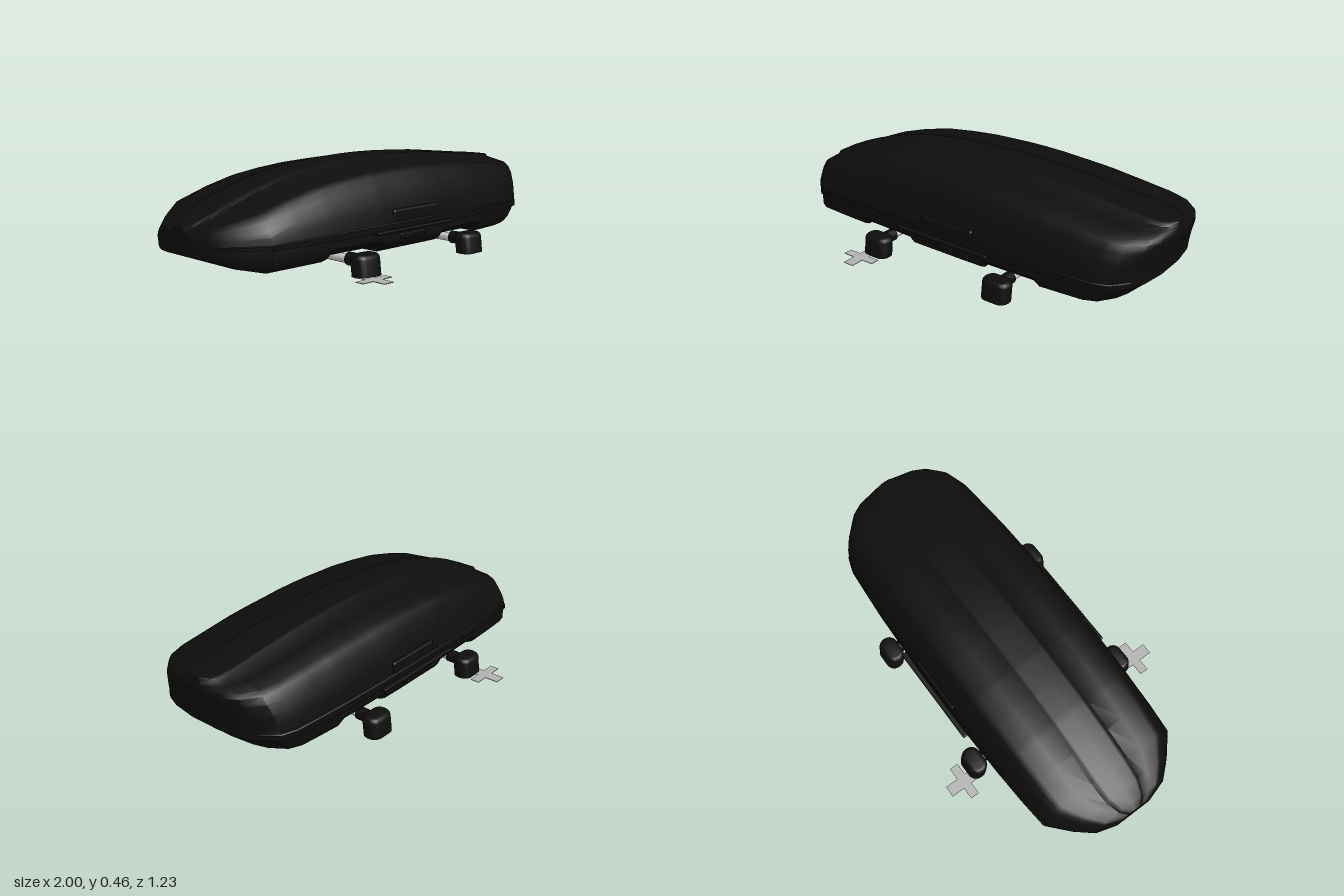
import * as THREE from 'three';
import { toCreasedNormals } from 'three/addons/utils/BufferGeometryUtils.js';
import { RoundedBoxGeometry } from 'three/addons/geometries/RoundedBoxGeometry.js';

const black = new THREE.MeshStandardMaterial({ color: 0x0d0d0d });
black.name = 'black plastic';
const silver = new THREE.MeshStandardMaterial({ color: 0xd0d0d0 });
silver.name = 'bar silver';
const grey = new THREE.MeshStandardMaterial({ color: 0xb2b2b2 });
grey.name = 'plate grey';

const SEAM = 0.165;

// Stations along the box: x, half width, top height, bottom height
const STATIONS = [
  [-1, 0, 0.23, 0.12], [-1, 0.1, 0.23, 0.12], [-0.97, 0.2, 0.253, 0.112], [-0.9, 0.28, 0.285, 0.082],
  [-0.8, 0.37, 0.325, 0.061], [-0.65, 0.383, 0.375, 0.064], [-0.51, 0.39, 0.411, 0.066],
  [-0.48, 0.392, 0.417, 0.09], [-0.34, 0.396, 0.437, 0.09], [-0.2, 0.4, 0.451, 0.09],
  [-0.185, 0.4, 0.452, 0.065], [0, 0.4, 0.46, 0.065], [0.1, 0.4, 0.461, 0.065], [0.21, 0.398, 0.459, 0.065],
  [0.23, 0.397, 0.458, 0.09], [0.36, 0.394, 0.452, 0.09], [0.49, 0.39, 0.444, 0.09],
  [0.52, 0.388, 0.441, 0.065], [0.65, 0.38, 0.428, 0.065], [0.8, 0.37, 0.413, 0.065],
  [0.88, 0.345, 0.405, 0.066], [0.95, 0.27, 0.399, 0.067], [0.98, 0.2, 0.397, 0.068],
  [1, 0.08, 0.395, 0.07], [1, 0, 0.395, 0.07],
];

// Slanted rear end: furthest x at each height
const REAR = [[0.06, 0.81], [0.08, 0.87], [0.13, 0.92], [0.16, 0.955], [0.2, 0.957],
  [0.29, 0.98], [0.34, 1], [0.395, 0.985], [0.47, 0.985]];

function rearX(y) {
  for (let i = 1; i < REAR.length; i++) {
    const [y0, x0] = REAR[i - 1], [y1, x1] = REAR[i];
    if (y <= y1) return x0 + (x1 - x0) * Math.max(0, (y - y0) / (y1 - y0));
  }
  return 0.985;
}

function slant(x, y) {
  const start = 0.55;
  return x <= start ? x : start + (x - start) / (1 - start) * (rearX(y) - start);
}

// Half sections, from the seam to the centre line, as [z, y]
function lidSection(w, top) {
  const crest = Math.min(0.09, w * 0.3), shoulder = top - 0.013;
  const side = [[0.96, -0.03], [1, -0.03], [1, 0.09], [0.985, 0.11], [0.96, 0.32], [0.925, 0.49],
    [0.86, 0.7], [0.8, 0.84], [0.73, 0.91], [0.5, 0.965]];
  return [
    ...side.map(([z, t]) => [z * w, SEAM + (shoulder - SEAM) * t]),
    [crest * 1.15, shoulder], [crest, top - 0.003], [crest * 0.85, top], [0, top],
  ];
}

function tubSection(w, top, bottom) {
  const side = [[0.965, -0.1], [0.97, 0.15], [0.97, 0.6], [0.93, 0.85], [0.86, 1], [0.14, 1]];
  const channel = Math.max(bottom, 0.08);
  return [
    ...side.map(([z, t]) => [z * w, SEAM - (SEAM - bottom) * t]),
    [0.11 * w, channel], [0, channel],
  ];
}

// Skin mirrored sections along the box
function loft(section, sign) {
  const pos = [], index = [];
  let n = 0;
  for (const [x, w, top, bottom] of STATIONS) {
    const half = section(w, top, bottom);
    const ring = [...half, ...half.slice(0, -1).reverse().map(([z, y]) => [-z, y])];
    n = ring.length;
    for (const [z, y] of ring) pos.push(slant(x, y), y, z * sign);
  }
  for (let i = 0; i < STATIONS.length - 1; i++) {
    for (let k = 0; k < n - 1; k++) {
      const a = i * n + k, b = a + n;
      index.push(a, b, b + 1, a, b + 1, a + 1);
    }
  }
  const geo = new THREE.BufferGeometry();
  geo.setAttribute('position', new THREE.Float32BufferAttribute(pos, 3));
  geo.setIndex(index);
  return toCreasedNormals(geo, 0.55);
}

function add(group, name, geo, mat, x = 0, y = 0, z = 0) {
  const mesh = new THREE.Mesh(geo, mat);
  mesh.name = name;
  mesh.position.set(x, y, z);
  group.add(mesh);
  return mesh;
}

// Foot block, rounded in plan and slightly tapered upward
function footGeometry() {
  const s = new THREE.Shape();
  s.moveTo(-0.035, -0.045);
  s.lineTo(0.035, -0.045);
  s.quadraticCurveTo(0.07, -0.035, 0.07, 0);
  s.quadraticCurveTo(0.07, 0.035, 0.035, 0.045);
  s.lineTo(-0.035, 0.045);
  s.quadraticCurveTo(-0.07, 0.035, -0.07, 0);
  s.quadraticCurveTo(-0.07, -0.035, -0.035, -0.045);
  const geo = new THREE.ExtrudeGeometry(s, {
    depth: 0.075, bevelThickness: 0.02, bevelSize: 0.02, bevelOffset: -0.02, bevelSegments: 4, curveSegments: 8,
  });
  geo.rotateX(-Math.PI / 2);
  const p = geo.attributes.position;
  for (let i = 0; i < p.count; i++) {
    // Square off the underside and lean the block inward
    if (p.getY(i) < 0) p.setY(i, 0);
    p.setZ(i, p.getZ(i) - p.getY(i) * 0.12);
  }
  return toCreasedNormals(geo, 0.6);
}

// Flat cross-shaped plate
function crossGeometry() {
  const a = 0.028, b = 0.022, X = 0.088, Z = 0.088;
  const pts = [[a, b], [a, Z], [-a, Z], [-a, b], [-X, b], [-X, -b], [-a, -b], [-a, -Z], [a, -Z], [a, -b], [X, -b], [X, b]];
  const s = new THREE.Shape(pts.map(([x, y]) => new THREE.Vector2(x, y)));
  return new THREE.ExtrudeGeometry(s, { depth: 0.003, bevelEnabled: false }).rotateX(-Math.PI / 2);
}

export function createModel() {
  const model = new THREE.Group();
  model.name = 'roofBox';

  add(model, 'lid', loft(lidSection, 1), black);
  add(model, 'tub', loft(tubSection, -1), black);

  // Crossbars
  for (const x of [-0.35, 0.35]) {
    const bar = add(model, 'crossbar', new THREE.CylinderGeometry(0.02, 0.02, 0.72, 24), silver, x, 0.055, 0);
    bar.rotation.x = Math.PI / 2;
  }

  const foot = footGeometry(), cross = crossGeometry();
  for (const side of [1, -1]) {
    // Feet with arms that clamp the bars
    for (const x of [-0.35, 0.35]) {
      const g = new THREE.Group();
      g.name = 'foot';
      g.position.x = x;
      g.rotation.y = side > 0 ? 0 : Math.PI;
      add(g, 'footBlock', foot, black, 0, 0, 0.445);
      const arm = add(g, 'footArm', new THREE.CylinderGeometry(0.03, 0.03, 0.1, 20), black, 0, 0.058, 0.388);
      arm.rotation.x = Math.PI / 2;
      model.add(g);
    }
    // Side handle: lip at the seam and grip above it
    add(model, 'handleLip', new RoundedBoxGeometry(0.52, 0.014, 0.06, 3, 0.006), black, 0.01, 0.161, side * 0.392);
    add(model, 'handleGrip', new RoundedBoxGeometry(0.3, 0.06, 0.03, 3, 0.012), black, 0.025, 0.222, side * 0.382);
    add(model, 'handleLatch', new RoundedBoxGeometry(0.17, 0.03, 0.02, 2, 0.008), black, 0.01, 0.125, side * 0.382);
    // Cross plates on the ground
    add(model, 'crossPlate', cross, grey, -0.387, 0, side * 0.525);
  }

  // Rear pull
  add(model, 'rearPull', new RoundedBoxGeometry(0.02, 0.014, 0.14, 2, 0.006), black, 0.972, 0.29, 0);
  return model;
}
